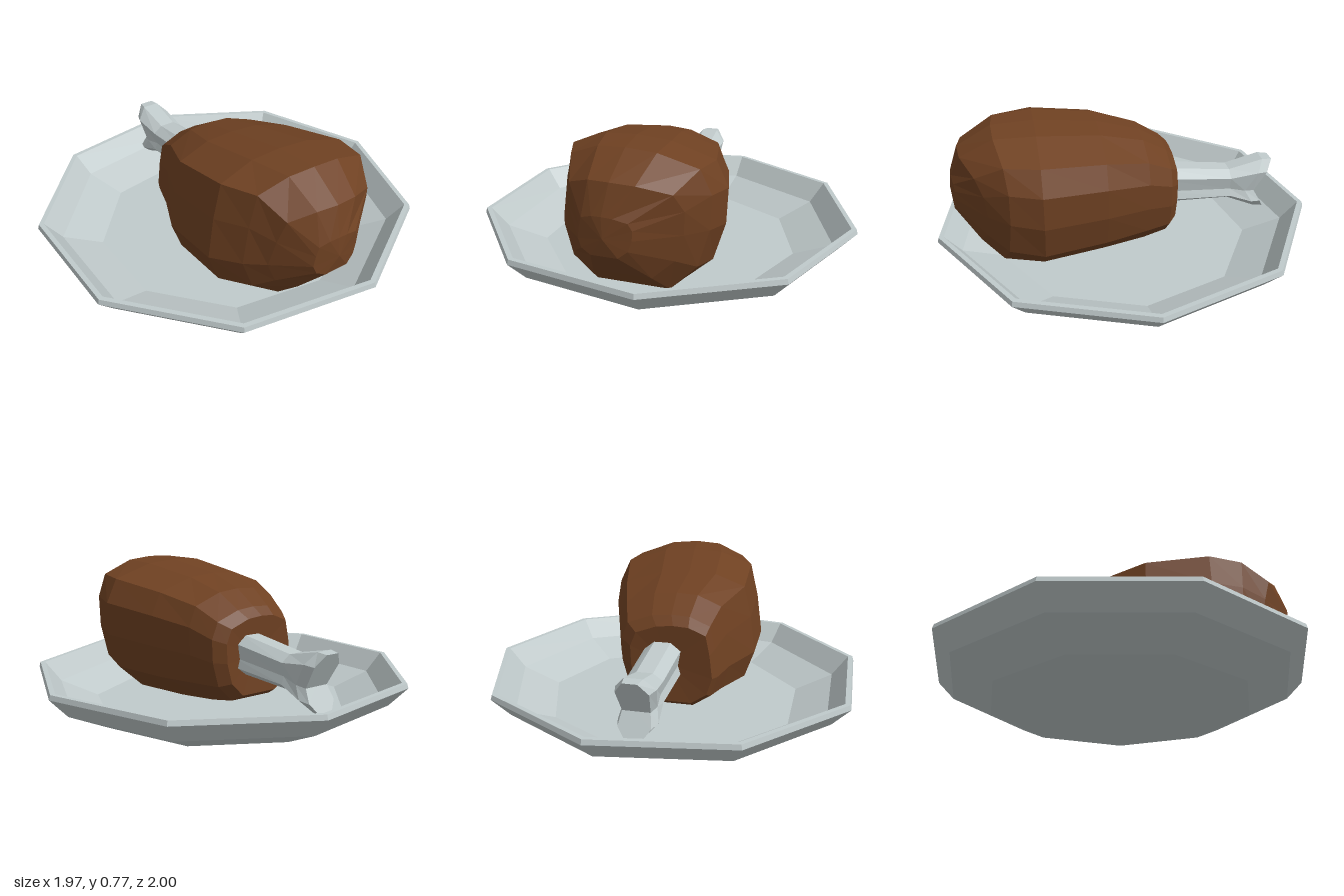
import * as THREE from 'three';

// Lofts a closed skin through rings ordered from back (-z) to front (+z).
// Ring: [z or z(u, v), xMin, xMax, yMin, yMax]; section: [u -1..1, v 0..1], anticlockwise.
function loft(section, rings, backCentre, frontCentre) {
  const n = section.length, positions = [], index = [];
  for (const [z, x0, x1, y0, y1] of rings) {
    for (const [u, v] of section) {
      positions.push(
        (x0 + x1) / 2 + (u * (x1 - x0)) / 2,
        y0 + v * (y1 - y0),
        typeof z === 'function' ? z(u, v) : z
      );
    }
  }
  const back = rings.length * n, front = back + 1, last = (rings.length - 1) * n;
  positions.push(...backCentre, ...frontCentre);
  for (let j = 0; j < n; j++) {
    const k = (j + 1) % n;
    for (let i = 0; i < last; i += n) {
      index.push(i + j, i + k, i + n + k, i + j, i + n + k, i + n + j);
    }
    index.push(back, k, j, front, last + j, last + k);
  }
  const geometry = new THREE.BufferGeometry();
  geometry.setAttribute('position', new THREE.Float32BufferAttribute(positions, 3));
  geometry.setIndex(index);
  const flat = geometry.toNonIndexed();
  flat.computeVertexNormals();
  return flat;
}

export function createModel() {
  const group = new THREE.Group();
  const paleGrey = new THREE.MeshStandardMaterial({ color: 0xc0cacb, flatShading: true });
  paleGrey.name = 'pale grey';
  const roastBrown = new THREE.MeshStandardMaterial({ color: 0x6f4122, flatShading: true });
  roastBrown.name = 'roast brown';

  const add = (name, geometry, material) => {
    const mesh = new THREE.Mesh(geometry, material);
    mesh.name = name;
    group.add(mesh);
    return mesh;
  };

  // Nine-sided dish: underside, rim, then the inner bowl
  const profile = [
    [0, 0], [0.7, 0], [0.92, 0.1], [1.015, 0.2], [1.008, 0.225],
    [0.982, 0.225], [0.895, 0.12], [0.69, 0.04], [0, 0.04],
  ].map(([r, y]) => new THREE.Vector2(r, y));
  const plate = add('plate', new THREE.LatheGeometry(profile, 9, Math.PI / 2), paleGrey);
  plate.position.x = -0.03;

  // Roast meat: slightly lopsided section, boxy shoulders, bulging front
  const meatSection = [
    [-0.5, 0], [0.5, 0], [0.84, 0.18], [0.98, 0.45], [1, 0.7], [0.86, 0.88], [0.35, 0.98],
    [-0.05, 1], [-0.42, 0.99], [-0.83, 0.9], [-0.93, 0.65], [-1, 0.35], [-0.87, 0.13],
  ];
  const meatRings = [
    [-0.275, -0.29, 0.14, 0.12, 0.53],
    [-0.23, -0.31, 0.2, 0.09, 0.575],
    [-0.1, -0.35, 0.25, 0.07, 0.655],
    [0.13, -0.45, 0.33, 0.05, 0.715],
    [0.46, -0.445, 0.415, 0.045, 0.767],
    [(u) => 0.68 - 0.06 * u * u, -0.36, 0.38, 0.09, 0.77],
    [(u, v) => 0.835 - 0.1 * u * u + 0.06 * (v - 0.6), -0.29, 0.29, 0.19, 0.665],
    [(u) => 0.905 - 0.02 * u * u, -0.16, 0.1, 0.33, 0.52],
  ];
  add('meat', loft(meatSection, meatRings, [-0.05, 0.32, -0.26], [-0.03, 0.42, 0.915]), roastBrown);

  // Bone: straight shaft ending in an upper and a lower knob with a notch between
  const boneSection = [
    [-0.4, 0], [0.4, 0], [1, 0.2], [0.85, 0.42], [1, 0.8],
    [0.45, 1], [-0.45, 1], [-1, 0.8], [-0.85, 0.42], [-1, 0.2],
  ];
  const notch = (z) => (u, v) => z - 0.17 * Math.abs(v - 0.42);
  const boneRings = [
    [notch(-0.745), -0.11, 0.05, 0.14, 0.44],
    [notch(-0.69), -0.13, 0.065, 0.15, 0.445],
    [-0.6, -0.12, 0.06, 0.22, 0.4],
    [-0.2, -0.125, 0.065, 0.23, 0.445],
  ];
  add('bone', loft(boneSection, boneRings, [-0.03, 0.266, -0.745], [-0.03, 0.33, -0.2]), paleGrey);

  return group;
}
